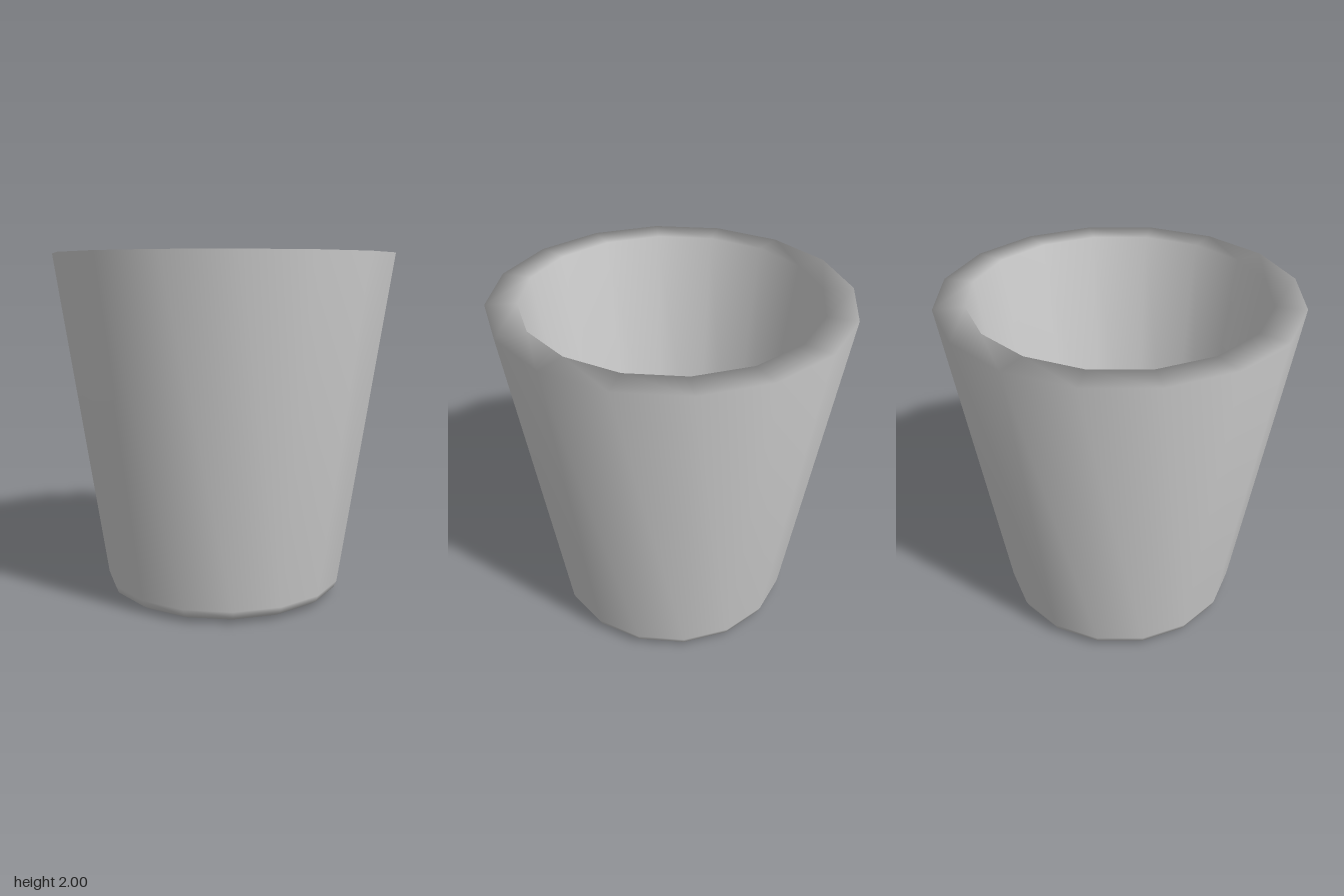
import * as THREE from 'three';

export function createModel() {
  const group = new THREE.Group();
  group.name = 'cup';
  const material = new THREE.MeshStandardMaterial({ color: 0xcccccc });

  // Closed profile: underside, rounded foot, outer wall, rim, inner wall, floor
  const profile = [
    [0, 0], [0.02, 0], [0.62, 0.012], [0.65, 0.015], [0.69, 0.04], [0.707, 0.08],
    [0.993, 2],
    [0.823, 2],
    [0.60, 0.2], [0.54, 0.15], [0, 0.15],
  ].map(([r, y]) => new THREE.Vector2(r, y));

  // Sixteen-sided tapered body with smooth shading
  const body = new THREE.Mesh(new THREE.LatheGeometry(profile, 16), material);
  body.name = 'cupBody';
  group.add(body);
  return group;
}
